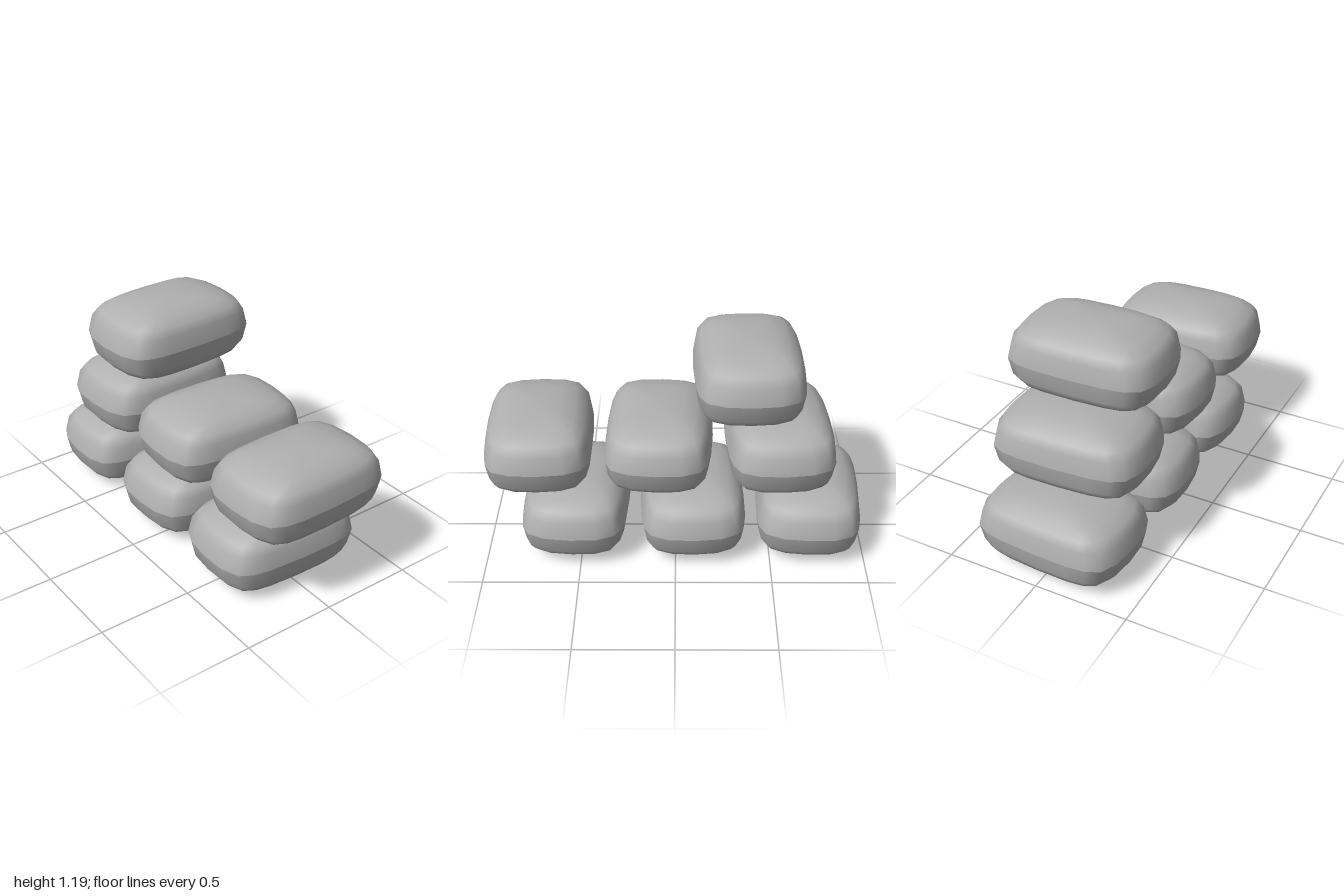
import * as THREE from 'three';

// One quarter of the bag's plan outline, as fractions of half width and half depth
const QUARTER = [[1, 0], [0.98, 0.475], [0.93, 0.71], [0.8, 0.88], [0.48, 0.975]];
// Inset of the outline at each height, from the seam up to the crown
const RINGS = [[1, 0], [0.95, 0.09], [0.865, 0.132], [0.7, 0.166], [0.465, 0.186], [0.2, 0.193]];
const HALF_WIDTH = 0.281, HALF_DEPTH = 0.403, HALF_HEIGHT = 0.195;

// Full outline: each following quarter is the first, walked back or forth and mirrored
function outline() {
  const back = [...QUARTER.slice(1), [0, 1]].reverse();
  return [
    ...QUARTER,
    ...back.map(([x, z]) => [-x, z]),
    ...QUARTER.map(([x, z]) => [-x, -z]),
    ...back.map(([x, z]) => [x, -z]),
  ];
}

// Half a bag from stacked loops; side is 1 for the upper half, -1 for the lower
function halfBag(side) {
  const loop = outline(), n = loop.length;
  const positions = [], index = [];
  const tri = (a, b, c) => (side > 0 ? index.push(a, b, c) : index.push(a, c, b));
  for (const [s, y] of RINGS) {
    for (const [x, z] of loop) positions.push(x * s * HALF_WIDTH, y * side, z * s * HALF_DEPTH);
  }
  const crown = RINGS.length * n;
  positions.push(0, HALF_HEIGHT * side, 0);
  for (let r = 0; r < RINGS.length; r++) {
    for (let i = 0; i < n; i++) {
      const a = r * n + i, b = r * n + (i + 1) % n;
      if (r === RINGS.length - 1) {
        tri(a, crown, b);
      } else {
        tri(a, a + n, b);
        tri(b, a + n, b + n);
      }
    }
  }
  const geometry = new THREE.BufferGeometry();
  geometry.setAttribute('position', new THREE.Float32BufferAttribute(positions, 3));
  geometry.setIndex(index);
  geometry.computeVertexNormals();
  return geometry;
}

export function createModel() {
  const model = new THREE.Group();
  model.name = 'sandbagStack';
  const cloth = new THREE.MeshStandardMaterial({ color: 0xb0b0b0 });
  cloth.name = 'grey cloth';

  // The two halves stay separate so that the seam reads as a crease
  const upper = halfBag(1), lower = halfBag(-1);

  // Rows of bags: centre x and a slight turn
  const rows = [
    [[-0.715, -0.05], [-0.09, 0.03], [0.53, -0.04]],
    [[-0.54, 0.05], [0.085, -0.04], [0.713, 0.03]],
    [[-0.37, 0.03]],
  ];
  rows.forEach((row, r) => row.forEach(([x, turn], i) => {
    const bag = new THREE.Group();
    bag.name = `sandbagRow${r + 1}Number${i + 1}`;
    const top = new THREE.Mesh(upper, cloth);
    top.name = 'upperHalf';
    const bottom = new THREE.Mesh(lower, cloth);
    bottom.name = 'lowerHalf';
    bag.add(top, bottom);
    bag.position.set(x, HALF_HEIGHT + 0.002 + r * 0.4, 0);
    bag.rotation.y = turn;
    model.add(bag);
  }));
  return model;
}
